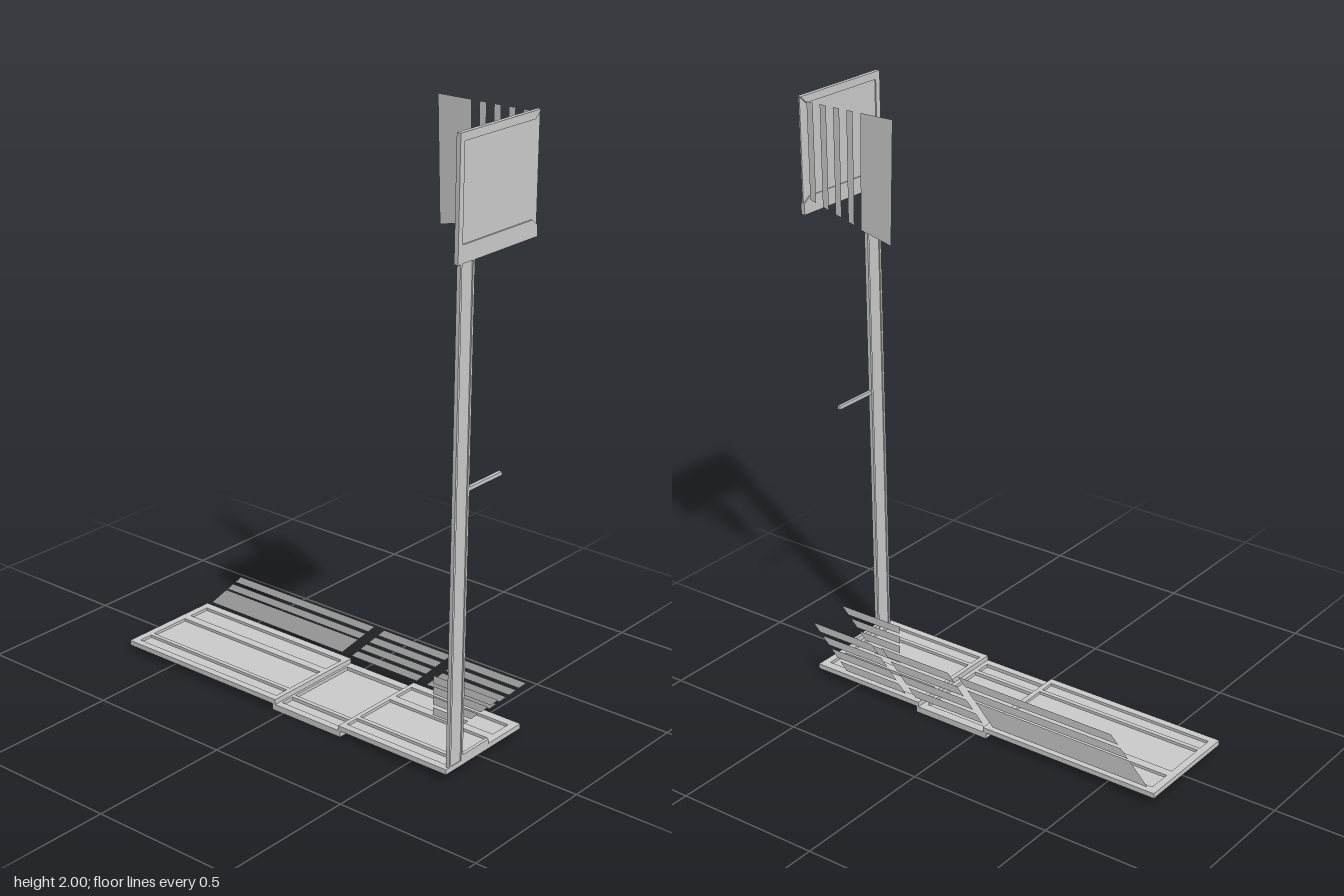
import * as THREE from 'three';

export function createModel() {
  const group = new THREE.Group();
  const grey = new THREE.MeshStandardMaterial({ color: 0xcccccc, flatShading: true });
  const sheet = new THREE.MeshStandardMaterial({ color: 0xcccccc, side: THREE.DoubleSide });

  const add = (name, geometry, parent = group, material = grey) => {
    const mesh = new THREE.Mesh(geometry, material);
    mesh.name = name;
    parent.add(mesh);
    return mesh;
  };
  const part = (name) => {
    const g = new THREE.Group();
    g.name = name;
    group.add(g);
    return g;
  };
  // Box given by its lower and upper limits
  const box = (name, [x0, x1], [y0, y1], [z0, z1], parent) =>
    add(name, new THREE.BoxGeometry(x1 - x0, y1 - y0, z1 - z0), parent)
      .position.set((x0 + x1) / 2, (y0 + y1) / 2, (z0 + z1) / 2);
  const polygon = (points) => new THREE.Shape(points.map(([a, b]) => new THREE.Vector2(a, b)));
  const rect = (a0, a1, b0, b1) => polygon([[a0, b0], [a1, b0], [a1, b1], [a0, b1]]);

  // Floor trays: a closed bottom plate with a raised frame around sunken fields
  function tray(name, x0, x1, y0, y1, hx0, hx1, rows) {
    const g = part(name);
    const mid = y0 + (y1 - y0) * 0.45;
    box('trayFloor', [x0, x1], [y0, mid], [-0.19, 0.19], g);
    const shape = rect(x0, x1, -0.19, 0.19);
    rows.forEach(([z0, z1]) => shape.holes.push(rect(hx0, hx1, z0, z1)));
    const frame = new THREE.ExtrudeGeometry(shape, { depth: y1 - mid, bevelEnabled: false });
    frame.rotateX(Math.PI / 2).translate(0, y1, 0);
    add('trayFrame', frame, g);
  }
  const threeRows = [[-0.16, -0.08], [-0.05, 0.10], [0.115, 0.165]];
  const twoRows = [[-0.16, 0.10], [0.115, 0.165]];
  tray('rightTray', -0.685, -0.033, 0.021, 0.038, -0.66, -0.05, threeRows);
  tray('middleTray', -0.045, 0.238, 0, 0.021, -0.025, 0.215, twoRows);
  tray('leftTray', 0.23, 0.655, 0.021, 0.038, 0.245, 0.63, threeRows);

  // Tall post: a thin web with an edge strip on each side
  const post = part('post');
  box('postWeb', [0.648, 0.653], [0.038, 1.645], [0.11, 0.177], post);
  for (const z of [0.11, 0.169]) box('postEdge', [0.644, 0.657], [0.038, 1.645], [z, z + 0.008], post);

  // Small arms reaching back from the post
  box('middleArm', [0.645, 0.656], [0.923, 0.935], [-0.05, 0.11]);
  box('lowerArm', [0.645, 0.656], [0.038, 0.055], [-0.022, 0.11]);

  // Sign board: thin plate in a three-sided frame with mitred ends
  const board = part('topBoard');
  box('boardPlate', [0.648, 0.653], [1.63, 1.995], [-0.187, 0.185], board);
  const rim = polygon([
    [-0.187, 1.625], [0.19, 1.625], [0.19, 2], [-0.187, 2],
    [-0.16, 1.975], [0.17, 1.975], [0.17, 1.68], [-0.16, 1.68], [-0.187, 1.66],
  ]);
  const rimGeometry = new THREE.ExtrudeGeometry(rim, { depth: 0.014, bevelEnabled: false });
  rimGeometry.rotateY(-Math.PI / 2).translate(0.658, 0, 0);
  add('boardFrame', rimGeometry, board);

  // Flat upright sheets
  const flat = (name, points, z, parent) =>
    add(name, new THREE.ShapeGeometry(polygon(points)).translate(0, 0, z), parent, sheet);

  // Slanted low slats in three columns
  const low = part('lowSlats');
  const upper = [[0.161, 0.188], [0.124, 0.151]];
  const fine = [...upper, [0.087, 0.114], [0.05, 0.077]];
  const columns = [
    [-0.66, -0.07, [...upper, [0.05, 0.119]]],
    [-0.03, 0.245, fine],
    [0.285, 0.537, fine],
  ];
  for (const [x0, x1, rows] of columns) {
    for (const [y0, y1] of rows) {
      const a = y0 - 0.05, b = y1 - 0.05;
      flat('lowSlat', [[x0 + a, y0], [x1 + a, y0], [x1 + b, y1], [x0 + b, y1]], -0.187, low);
    }
  }
  // Shorter slats set further forward, cut square at one end
  for (const [y0, y1] of fine) {
    const x1 = 0.487;
    flat('shortSlat', [[0.425, y0], [x1 + y0, y0], [x1 + y1, y1], [0.425, y1]], -0.04, low);
  }

  // Hanging upper slats: one wide sheet and four narrow ones
  const high = part('highSlats');
  flat('wideSlat', [[0.304, 1.595], [0.42, 1.622], [0.41, 1.99], [0.288, 1.99]], -0.187, high);
  for (let i = 0; i < 4; i++) {
    const x = 0.44 + i * 0.052, y = 1.632 + i * 0.014, lean = 0.006 - i * 0.002;
    flat('narrowSlat', [[x + lean, y], [x + lean + 0.023, y + 0.006], [x + 0.024, 1.99], [x, 1.99]], -0.187, high);
  }
  return group;
}
